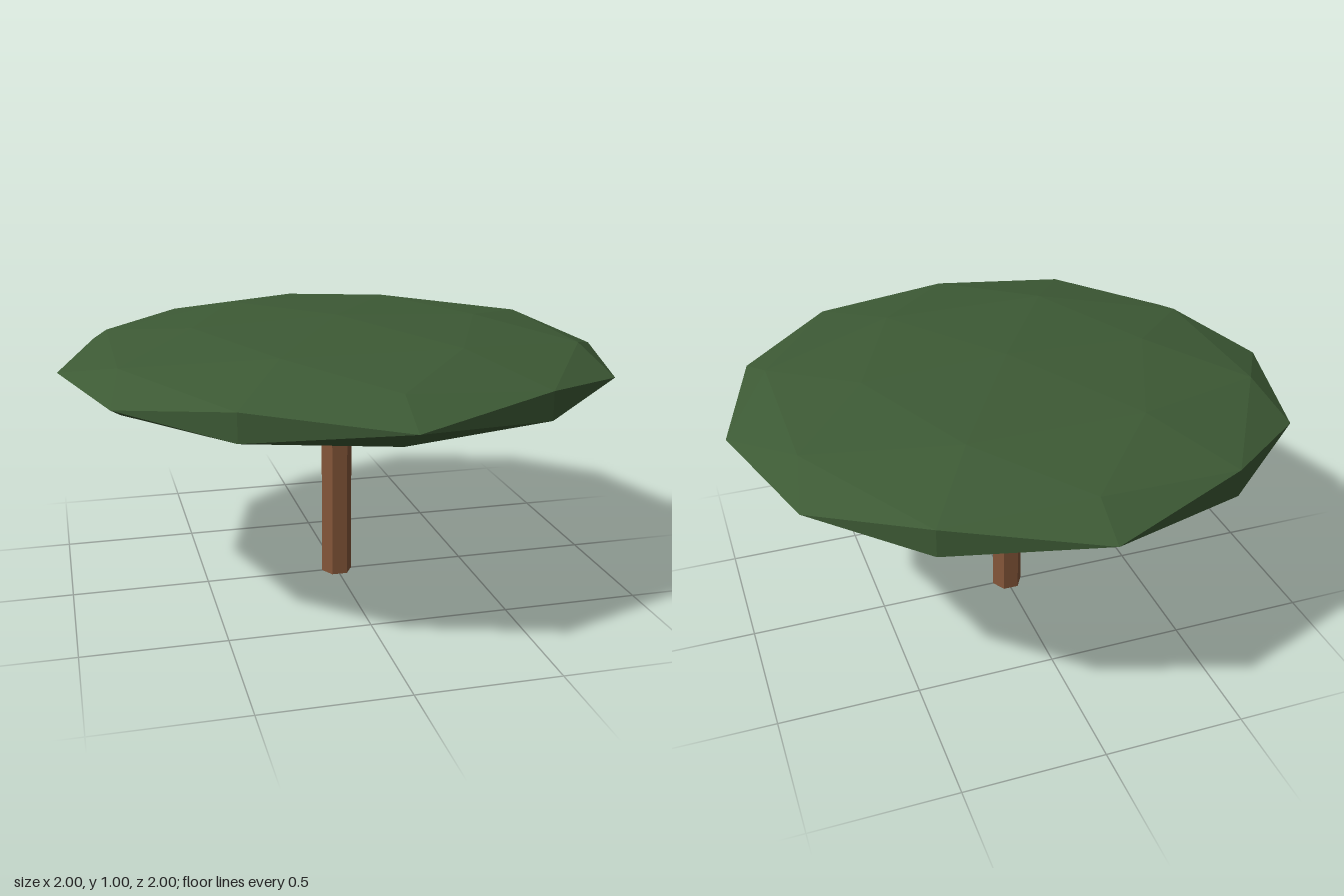
import * as THREE from 'three';

const CANOPY_Y = 0.843;
const CANOPY_HALF_HEIGHT = 0.157;

export function createModel() {
  const tree = new THREE.Group();
  tree.name = 'tree';

  const leafGreen = new THREE.MeshStandardMaterial({ color: 0x3d5a35, flatShading: true });
  leafGreen.name = 'leafGreen';
  const barkBrown = new THREE.MeshStandardMaterial({ color: 0x845639, flatShading: true });
  barkBrown.name = 'barkBrown';

  // Flattened faceted crown
  const crown = new THREE.IcosahedronGeometry(1, 1);
  crown.scale(1, CANOPY_HALF_HEIGHT, 1);
  crown.computeVertexNormals();
  const canopy = new THREE.Mesh(crown, leafGreen);
  canopy.name = 'canopy';
  canopy.position.y = CANOPY_Y;
  tree.add(canopy);

  // Six-sided trunk with corners on the x axis, ending inside the crown
  const height = 0.75;
  const post = new THREE.CylinderGeometry(0.0575, 0.0575, height, 6);
  post.rotateY(Math.PI / 6);
  post.translate(0, height / 2, 0);
  const trunk = new THREE.Mesh(post, barkBrown);
  trunk.name = 'trunk';
  tree.add(trunk);

  return tree;
}
